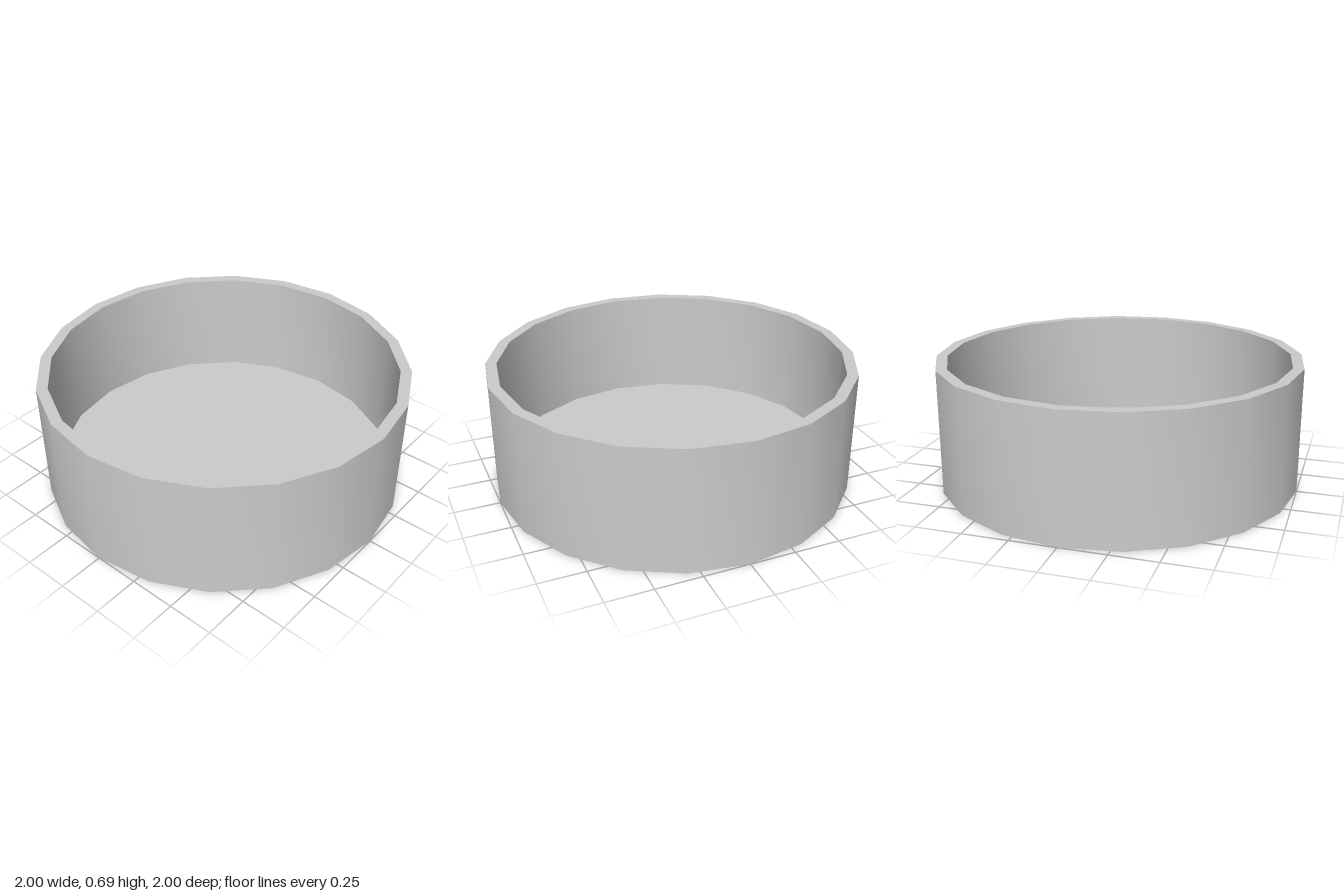
import * as THREE from 'three';
import { toCreasedNormals } from 'three/addons/utils/BufferGeometryUtils.js';

const SIDES = 20;
const OUTER = 1;
const INNER = 0.94;
const HEIGHT = 0.685;
const FLOOR = 0.077;

export function createModel() {
  const model = new THREE.Group();
  model.name = 'roundTray';
  const material = new THREE.MeshStandardMaterial({ color: 0xcccccc });

  // Revolve a profile, smooth around the walls and sharp at the rims
  const addPart = (name, points) => {
    const profile = points.map(([r, y]) => new THREE.Vector2(r, y));
    const geometry = toCreasedNormals(new THREE.LatheGeometry(profile, SIDES), 0.6);
    const mesh = new THREE.Mesh(geometry, material);
    mesh.name = name;
    model.add(mesh);
  };

  // Underside, outer wall, flat rim, inner wall and raised floor in one closed profile
  addPart('openDish', [
    [0, 0],
    [OUTER, 0],
    [OUTER, HEIGHT],
    [INNER, HEIGHT],
    [INNER, FLOOR],
    [0, FLOOR],
  ]);

  return model;
}
